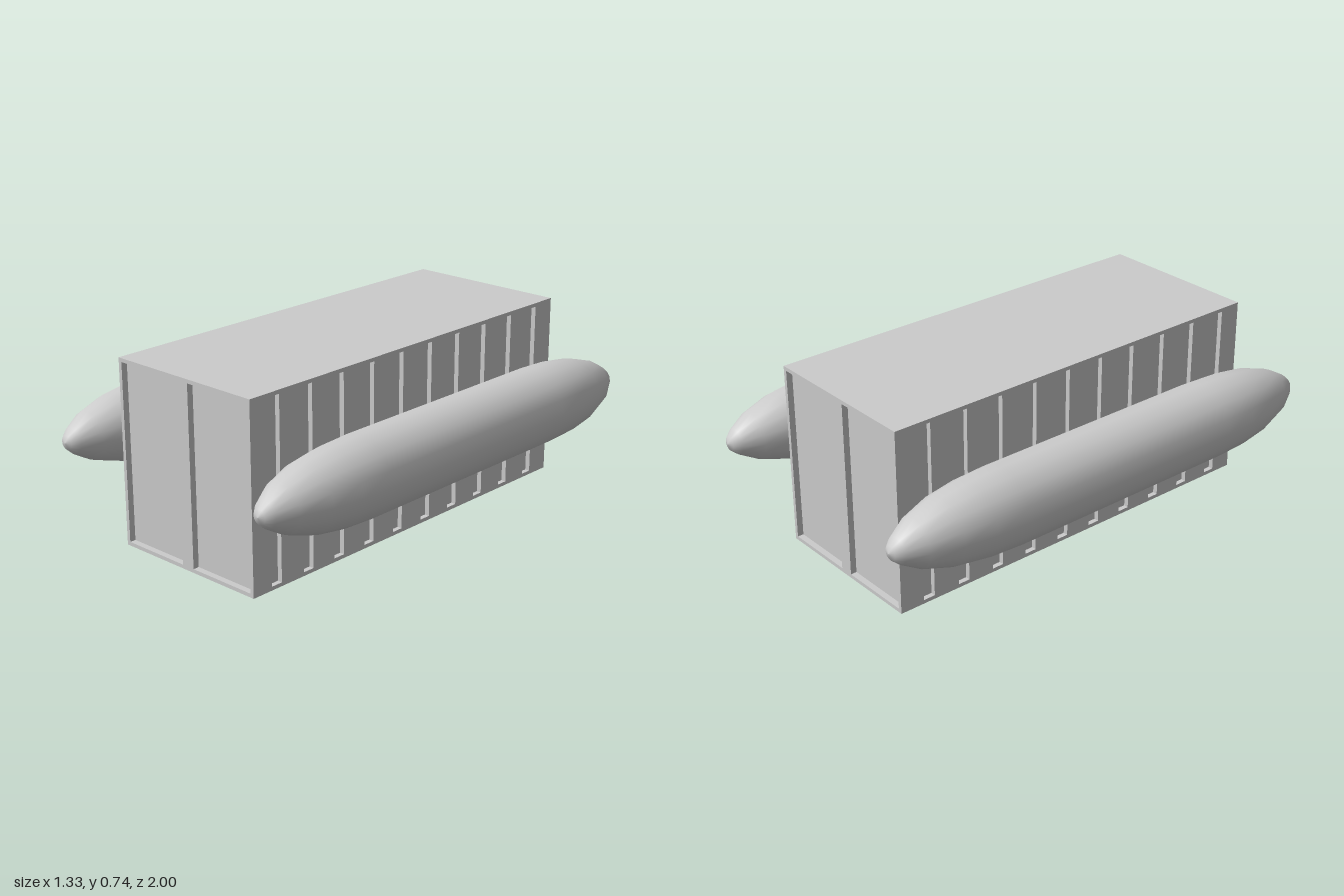
import * as THREE from 'three';

const W = 0.68, H = 0.74, Z0 = -0.835, Z1 = 0.865;
const END = 0.025, SIDE = 0.02; // recess depths

function rect(Type, x0, y0, x1, y1) {
  const r = new Type();
  r.moveTo(x0, y0);
  r.lineTo(x1, y0);
  r.lineTo(x1, y1);
  r.lineTo(x0, y1);
  r.closePath();
  return r;
}

// Flat plate, standing in xy, with rectangular openings [x0, y0, x1, y1]
function plate(outer, holes, depth) {
  const shape = rect(THREE.Shape, ...outer);
  for (const h of holes) shape.holes.push(rect(THREE.Path, ...h));
  return new THREE.ExtrudeGeometry(shape, { depth, bevelEnabled: false });
}

export function createModel() {
  const model = new THREE.Group();
  const material = new THREE.MeshStandardMaterial({ color: 0xcccccc });
  const add = (name, geometry, parent) => {
    const mesh = new THREE.Mesh(geometry, material);
    mesh.name = name;
    parent.add(mesh);
    return mesh;
  };

  const container = new THREE.Group();
  container.name = 'container';
  model.add(container);

  // Inner body, forming the floor of every recess
  const length = Z1 - Z0;
  const body = add('containerBody',
    new THREE.BoxGeometry(W - 2 * SIDE, H, length - 2 * END), container);
  body.position.set(0, H / 2, (Z0 + Z1) / 2);

  // End frames, each with two tall recessed door panels
  const frame = plate([-W / 2, 0, W / 2, H],
    [[-0.325, 0.015, -0.028, 0.725], [0.028, 0.015, 0.325, 0.725]], END);
  add('frontDoorFrame', frame, container).position.z = Z1 - END;
  const back = add('backDoorFrame', frame, container);
  back.rotation.y = Math.PI;
  back.position.z = Z0 + END;

  // Side walls with ten vertical grooves
  for (const side of [1, -1]) {
    const grooves = [];
    for (let i = 0; i < 10; i++) {
      const u = -side * (0.75 - i * 0.162);
      grooves.push([u - 0.025, 0.015, u + 0.025, 0.725]);
    }
    const ends = [-side * (Z0 + END), -side * (Z1 - END)].sort((a, b) => a - b);
    const wall = add(side > 0 ? 'leftWall' : 'rightWall',
      plate([ends[0], 0, ends[1], H], grooves, SIDE), container);
    wall.rotation.y = side * Math.PI / 2;
    wall.position.x = side * (W / 2 - SIDE);
  }

  // Long rounded floats on both sides
  const nose = [[0, 1], [0.028, 0.992], [0.052, 0.965], [0.095, 0.89],
    [0.132, 0.77], [0.15, 0.64], [0.156, 0.5]];
  const profile = [
    ...nose.map(([r, z]) => new THREE.Vector2(r, -z)),
    ...[...nose].reverse().map(([r, z]) => new THREE.Vector2(r, z)),
  ];
  const floatGeometry = new THREE.LatheGeometry(profile, 16);
  for (const side of [1, -1]) {
    const pod = add(side > 0 ? 'leftFloat' : 'rightFloat', floatGeometry, model);
    pod.rotation.x = Math.PI / 2;
    pod.position.set(side * 0.509, 0.401, 0);
  }
  return model;
}
